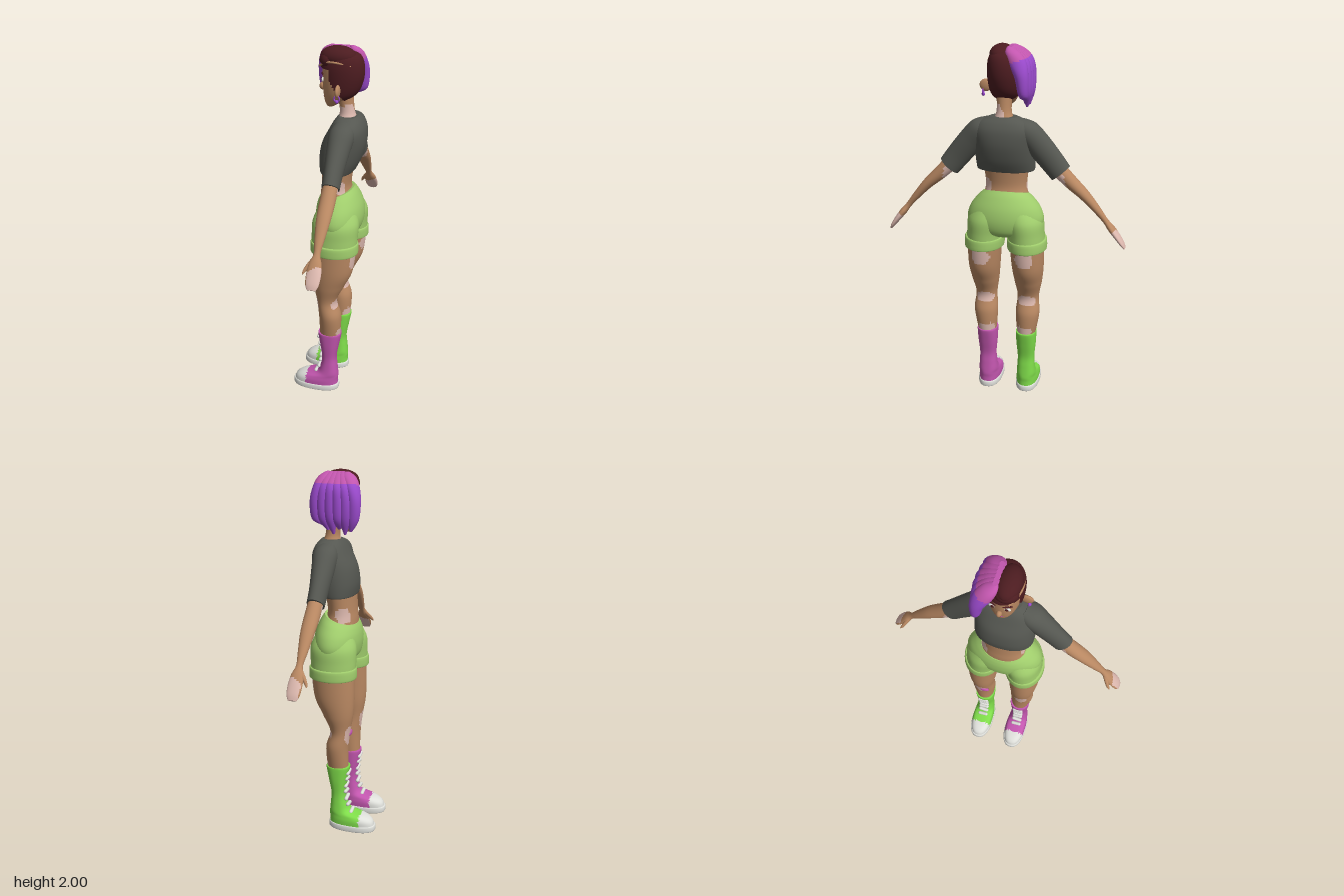
import * as THREE from 'three';

const mat = (name, color) => Object.assign(new THREE.MeshStandardMaterial({ color }), { name });
const M = {
  skin: mat('skin', 0xb98862), pale: mat('pale skin patch', 0xdcb8ae), shirt: mat('shirt grey', 0x555751),
  shorts: mat('shorts green', 0xa0cd6c), green: mat('boot green', 0x7fdc4a), pink: mat('pink', 0xc256ae),
  purple: mat('hair purple', 0x9a4acc), dark: mat('dark hair', 0x4c1c20), white: mat('white', 0xdedfda),
};

// Smooth interpolation through rows of numbers
function spline(rows, steps) {
  const out = [], n = rows.length - 1;
  for (let k = 0; k <= n * steps; k++) {
    const i = Math.min(Math.floor(k / steps), n - 1), t = k / steps - i;
    const [a, b, c, d] = [i - 1, i, i + 1, i + 2].map(q => rows[Math.max(0, Math.min(n, q))]);
    out.push(b.map((_, j) => 0.5 * (2 * b[j] + (c[j] - a[j]) * t + (2 * a[j] - 5 * b[j] + 4 * c[j] - d[j]) * t * t
      + (3 * b[j] - a[j] - 3 * c[j] + d[j]) * t * t * t)));
  }
  return out;
}

// Loft of elliptical rings [y, cx, cz, rx, rz, tilt]; pick(x, y, z) names each face's material, or null for none
function loft(name, rows, pick, { steps = 6, seg = 32, power = 1, cap = true } = {}) {
  const full = rows.map(([y, cx, cz, rx, rz, tilt = 0]) => [y, cx, cz, rx, rz, tilt]).sort((a, b) => a[0] - b[0]);
  const rings = spline(full, steps), pos = [], lists = {};
  const bend = v => Math.sign(v) * Math.abs(v) ** power;
  const ring = ([y, cx, cz, rx, rz, tilt]) => {
    for (let j = 0; j < seg; j++) {
      const a = j / seg * Math.PI * 2, dx = Math.max(rx, 0.001) * bend(Math.cos(a));
      pos.push(cx + dx, y + tilt * dx, cz + Math.max(rz, 0.001) * bend(Math.sin(a)));
    }
  };
  const choose = typeof pick === 'string' ? () => pick : pick;
  const add = (ids, ...faces) => {
    const c = [0, 1, 2].map(q => ids.reduce((s, i) => s + pos[i * 3 + q], 0) / ids.length), key = choose(...c);
    if (key) (lists[key] ??= []).push(...faces);
  };
  rings.forEach(ring);
  for (let i = 0; i < rings.length - 1; i++) for (let j = 0; j < seg; j++) {
    const k = (j + 1) % seg, a = i * seg + j, b = i * seg + k, c = a + seg, d = b + seg;
    add([a, b, c, d], a, c, b, b, c, d);
  }
  if (cap) for (const [r, up] of [[rings[0], false], [rings.at(-1), true]]) {
    const s = pos.length / 3;
    ring(r);
    pos.push(r[1], r[0], r[2]);
    for (let j = 0; j < seg; j++) {
      const a = s + j, b = s + (j + 1) % seg, c = s + seg;
      add([a, b, c], c, ...(up ? [b, a] : [a, b]));
    }
  }
  const g = new THREE.BufferGeometry(), index = [], mats = [];
  g.setAttribute('position', new THREE.Float32BufferAttribute(pos, 3));
  for (const key in lists) {
    g.addGroup(index.length, lists[key].length, mats.length);
    mats.push(M[key]);
    for (const v of lists[key]) index.push(v);
  }
  g.setIndex(index);
  g.computeVertexNormals();
  const mesh = new THREE.Mesh(g, mats);
  mesh.name = name;
  return mesh;
}

// Skin with pale ellipsoid patches [x, y, z, rx, ry, rz]
const patchy = (blobs, side = 1) => (x, y, z) => blobs.some(([a, b, c, p, q, r]) => {
  const wobble = 1 + 0.25 * Math.sin(x * 90 + y * 60) * Math.cos(z * 80);
  return ((x - a) / p) ** 2 + ((y - b) / q) ** 2 + ((z * side - c) / r) ** 2 < wobble;
}) ? 'pale' : 'skin';

function blob(name, material, p, r) {
  const m = new THREE.Mesh(new THREE.SphereGeometry(1, 20, 14), M[material]);
  m.name = name;
  m.position.set(...p);
  m.scale.set(...r);
  return m;
}

function leg(side) {
  const g = new THREE.Group(), z = 0.113 * side, boot = side > 0 ? 'pink' : 'green';
  g.name = side > 0 ? 'pinkBootLeg' : 'greenBootLeg';
  g.add(loft('bareLeg', [[0.36, 0.028, z, 0.058, 0.05], [0.5, 0.03, 0.12 * side, 0.062, 0.067],
    [0.6, 0.012, 0.12 * side, 0.056, 0.06], [0.7, 0.025, 0.122 * side, 0.085, 0.076],
    [0.8, 0.045, 0.122 * side, 0.11, 0.087], [0.95, 0.055, 0.117 * side, 0.119, 0.094]],
    patchy([[0.16, 0.88, 0.12, 0.07, 0.055, 0.05], [0.07, 0.59, 0.12, 0.04, 0.032, 0.06],
      [0.08, 0.4, 0.1, 0.04, 0.03, 0.06], [-0.05, 0.58, 0.13, 0.035, 0.06, 0.045]], side), { steps: 10, seg: 48 }));
  // Shorts leg and turned cuff
  g.add(loft('shortsLeg', [[0.93, 0.053, 0.117 * side, 0.123, 0.1], [1.0, 0.053, 0.112 * side, 0.125, 0.1],
    [1.08, 0.055, 0.1 * side, 0.125, 0.104], [1.15, 0.055, 0.08 * side, 0.1, 0.08]], 'shorts'));
  g.add(loft('shortsCuff', [[0.912, 0.053, 0.119 * side, 0.126, 0.104], [0.92, 0.053, 0.119 * side, 0.131, 0.108],
    [0.965, 0.053, 0.117 * side, 0.13, 0.108], [0.972, 0.053, 0.117 * side, 0.123, 0.1]], 'shorts', { steps: 3 }));
  // Boot with white toe cap, sole and laces
  g.add(loft('boot', [[0.025, -0.055, z, 0.13, 0.063], [0.06, -0.05, z, 0.124, 0.064], [0.085, -0.03, z, 0.106, 0.06],
    [0.11, 0.012, z, 0.062, 0.055], [0.16, 0.022, z, 0.047, 0.05], [0.22, 0.024, z, 0.041, 0.048],
    [0.3, 0.026, z, 0.053, 0.055], [0.375, 0.027, z, 0.066, 0.058], [0.385, 0.027, z, 0.062, 0.055]],
    x => x < -0.105 ? 'white' : boot, { power: 0.85, seg: 48 }));
  g.add(loft('sole', [[0, -0.055, z, 0.131, 0.064], [0.006, -0.055, z, 0.136, 0.068], [0.03, -0.055, z, 0.136, 0.068],
    [0.036, -0.055, z, 0.131, 0.064]], 'white', { power: 0.85, steps: 2, seg: 40 }));
  for (let i = 0; i < 7; i++) {
    const lace = new THREE.Mesh(new THREE.CapsuleGeometry(0.011, 0.042, 4, 10), M.white);
    lace.name = 'lace';
    lace.rotation.x = Math.PI / 2 + (i % 2 ? 0.15 : -0.15);
    lace.position.set([-0.052, -0.034, -0.024, -0.02, -0.021, -0.026, -0.033][i], 0.108 + i * 0.04, z);
    g.add(lace);
  }
  return g;
}

function arm(side) {
  const g = new THREE.Group(), row = (s, cx, cn, rx, rn) => [-s, cx, cn * side, rx, rn];
  g.name = side > 0 ? 'leftArm' : 'rightArm';
  g.position.set(0, 1.56, 0.15 * side);
  g.rotation.x = -0.715 * side;
  g.add(loft('sleeve', [row(-0.09, 0.09, -0.02, 0.045, 0.03), row(-0.03, 0.09, -0.016, 0.065, 0.062),
    row(0.06, 0.086, -0.016, 0.058, 0.067), row(0.17, 0.083, -0.018, 0.048, 0.064), row(0.25, 0.083, -0.021, 0.045, 0.06)],
    'shirt'));
  g.add(loft('bareArm', [row(0.2, 0.083, -0.02, 0.038, 0.042), row(0.32, 0.083, -0.01, 0.04, 0.036),
    row(0.42, 0.083, 0.002, 0.036, 0.028), row(0.52, 0.083, 0.004, 0.025, 0.02), row(0.59, 0.084, 0.002, 0.017, 0.015),
    row(0.64, 0.084, 0, 0.032, 0.018), row(0.69, 0.085, -0.002, 0.037, 0.016), row(0.74, 0.085, -0.006, 0.034, 0.012),
    row(0.768, 0.085, -0.01, 0.022, 0.006)],
    patchy([[0.08, -0.27, -0.05, 0.06, 0.05, 0.05], [0.095, -0.73, 0, 0.045, 0.075, 0.05]], side)));
  g.add(loft('thumb', [row(0.61, 0.075, 0, 0.012, 0.01), row(0.645, 0.055, -0.004, 0.014, 0.011),
    row(0.675, 0.036, -0.008, 0.009, 0.008), row(0.695, 0.028, -0.01, 0.003, 0.003)], 'skin', { seg: 14 }));
  return g;
}

function head() {
  const g = new THREE.Group();
  g.name = 'head';
  const skull = [[1.685, 0, 0, 0.018, 0.02], [1.71, 0.015, 0, 0.044, 0.046], [1.76, 0.045, 0, 0.082, 0.07],
    [1.83, 0.058, 0, 0.099, 0.081], [1.9, 0.06, 0, 0.1, 0.081], [1.95, 0.06, 0, 0.08, 0.066], [1.975, 0.06, 0, 0.03, 0.03]];
  g.add(loft('face', skull, 'skin'));
  g.add(loft('neck', [[1.58, 0.09, 0, 0.07, 0.09], [1.635, 0.09, 0, 0.046, 0.05], [1.68, 0.086, 0, 0.038, 0.038],
    [1.76, 0.075, 0, 0.042, 0.042]], patchy([[0.1, 1.65, 0.03, 0.06, 0.055, 0.05]])));
  // Close-cropped dark hair round the side and back
  g.add(loft('croppedHair', skull.map(([y, cx, cz, rx, rz]) => [y, cx + 0.003, cz, rx + 0.009, rz + 0.008]),
    (x, y) => y > 1.725 && x > (y > 1.89 ? -1 : 0.008 + Math.max(0, 1.84 - y) * 0.65) ? 'dark' : null,
    { seg: 64, steps: 10, cap: false }));
  g.add(blob('topHair', 'dark', [0.045, 1.945, 0.02], [0.093, 0.053, 0.062]));
  g.add(blob('quiff', 'dark', [0.0, 1.93, 0.02], [0.05, 0.045, 0.06]));
  const parting = new THREE.Mesh(new THREE.TubeGeometry(new THREE.CatmullRomCurve3([[-0.045, 1.9, 0.045],
    [0, 1.925, 0.075], [0.06, 1.925, 0.083], [0.12, 1.91, 0.07]].map(p => new THREE.Vector3(...p))), 24, 0.005, 8), M.skin);
  parting.name = 'shavedParting';
  g.add(parting);
  // Long swept locks, pink at the parting and purple below
  for (let i = 0; i < 6; i++) {
    const x = -0.058 + i * 0.04, end = 1.685 + [0.015, 0, 0.025, 0, 0.02, 0.045][i], d = 0.012 * Math.sin(i * 0.63);
    g.add(loft('sweptLock', [[end, x * 0.75, -0.11, 0.006, 0.006], [1.76, x * 0.95, -0.108 - d, 0.03, 0.024],
      [1.85, x, -0.1 - d, 0.034, 0.035], [1.92, x * 0.85 + 0.008, -0.075 - d, 0.036, 0.047],
      [1.965, x * 0.65 + 0.02, -0.05, 0.034, 0.038], [1.99, x * 0.5 + 0.03, -0.03, 0.012, 0.012]],
      (a, y, z) => y + z * 0.25 > 1.91 ? 'pink' : 'purple', { seg: 24 }));
  }
  // Face details
  g.add(blob('nose', 'skin', [-0.042, 1.785, 0], [0.018, 0.02, 0.014]));
  g.add(blob('lips', 'pink', [-0.028, 1.738, 0], [0.008, 0.008, 0.022]));
  for (const s of [-1, 1]) {
    g.add(blob('eye', 'white', [-0.031, 1.828, 0.034 * s], [0.007, 0.012, 0.019]));
    g.add(blob('iris', 'dark', [-0.036, 1.828, 0.034 * s], [0.004, 0.01, 0.009]));
    const brow = blob('brow', 'dark', [-0.033, 1.858, 0.037 * s], [0.005, 0.005, 0.024]);
    brow.rotation.y = 0.35 * s;
    g.add(brow);
  }
  g.add(blob('ear', 'skin', [0.062, 1.79, 0.1], [0.012, 0.032, 0.034]));
  const ring = new THREE.Mesh(new THREE.TorusGeometry(0.014, 0.004, 8, 20), M.purple);
  ring.name = 'earring';
  ring.position.set(0.062, 1.757, 0.115);
  g.add(ring, blob('earringBead', 'purple', [0.062, 1.742, 0.115], [0.009, 0.009, 0.009]));
  return g;
}

export function createModel() {
  const model = new THREE.Group();
  model.name = 'figure';
  model.add(head());
  for (const side of [1, -1]) model.add(leg(side), arm(side));
  model.add(loft('waist', [[1.16, 0.04, 0, 0.09, 0.14], [1.22, 0.035, 0, 0.083, 0.118], [1.28, 0.034, 0, 0.077, 0.112],
    [1.4, 0.045, 0, 0.085, 0.125]],
    patchy([[0.03, 1.27, 0.11, 0.03, 0.05, 0.05], [0.08, 1.27, 0.09, 0.03, 0.04, 0.025], [0, 1.25, -0.1, 0.045, 0.04, 0.05]]),
    { steps: 10, seg: 48 }));
  model.add(loft('croppedShirt', [[1.352, 0.045, 0, 0.088, 0.15], [1.36, 0.046, 0, 0.093, 0.155],
    [1.42, 0.058, 0, 0.109, 0.158], [1.5, 0.075, 0, 0.112, 0.158], [1.57, 0.092, 0, 0.094, 0.157],
    [1.615, 0.096, 0, 0.073, 0.13], [1.643, 0.095, 0, 0.05, 0.072]], 'shirt', { power: 0.9, seg: 40 }));
  model.add(loft('shortsHips', [[0.99, 0.053, 0, 0.08, 0.12], [1.02, 0.055, 0, 0.113, 0.185],
    [1.08, 0.056, 0, 0.126, 0.208], [1.14, 0.053, 0, 0.122, 0.193, 0.06], [1.19, 0.044, 0, 0.106, 0.157, 0.2],
    [1.22, 0.037, 0, 0.09, 0.124, 0.3]], 'shorts', { seg: 48 }));
  // Plaster on one knee
  model.add(blob('kneePlaster', 'pink', [-0.036, 0.585, -0.1], [0.012, 0.018, 0.03]));
  return model;
}
